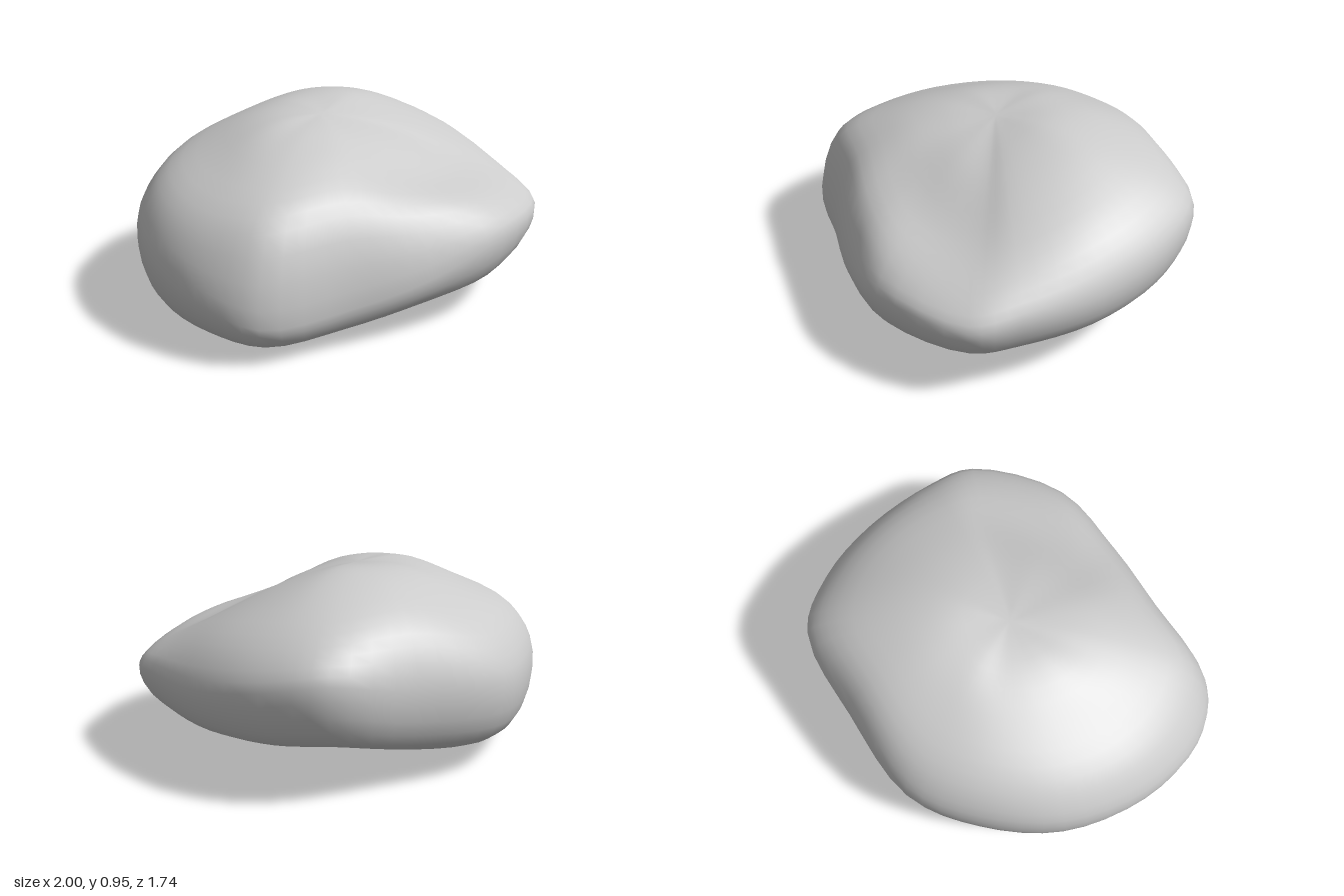
import * as THREE from 'three';

// Spokes around the boulder, running +x, +z, -x, -z:
// rim x, rim z, then heights: three on the upper surface going outwards,
// the rim itself, and three on the underside going inwards
const SPOKES = [
  [1.00, 0.00, 0.915, 0.835, 0.69, 0.50, 0.28, 0.21, 0.15],
  [0.96, 0.40, 0.87, 0.76, 0.61, 0.47, 0.27, 0.21, 0.14],
  [0.88, 0.63, 0.835, 0.69, 0.56, 0.44, 0.26, 0.20, 0.12],
  [0.43, 0.86, 0.835, 0.675, 0.575, 0.44, 0.22, 0.13, 0.07],
  [0.00, 0.83, 0.855, 0.73, 0.59, 0.31, 0.17, 0.07, 0.03],
  [-0.40, 0.725, 0.88, 0.80, 0.64, 0.23, 0.11, 0.05, 0.015],
  [-0.82, 0.615, 0.885, 0.785, 0.61, 0.21, 0.09, 0.04, 0.01],
  [-0.98, 0.35, 0.89, 0.78, 0.59, 0.30, 0.12, 0.03, 0.01],
  [-0.98, -0.05, 0.905, 0.78, 0.62, 0.39, 0.13, 0.03, 0.01],
  [-0.80, -0.45, 0.91, 0.80, 0.65, 0.44, 0.14, 0.055, 0.02],
  [-0.48, -0.725, 0.92, 0.83, 0.68, 0.46, 0.165, 0.07, 0.03],
  [-0.13, -0.865, 0.94, 0.85, 0.69, 0.48, 0.20, 0.08, 0.035],
  [0.35, -0.78, 0.955, 0.91, 0.78, 0.54, 0.26, 0.14, 0.065],
  [0.76, -0.65, 0.96, 0.90, 0.77, 0.63, 0.34, 0.22, 0.11],
  [0.93, -0.38, 0.95, 0.885, 0.74, 0.57, 0.31, 0.22, 0.13],
];
const REACH = [0.3, 0.6, 0.88, 1, 0.92, 0.6, 0.3];
const TOP = new THREE.Vector3(0, 0.92, 0);
const BOTTOM = new THREE.Vector3(0, 0.035, 0);
const AROUND = 60;
const DOWN = 32;

function boulderGeometry() {
  // Closed smooth ring through all spokes at each reach
  const rings = REACH.map((reach, k) => new THREE.CatmullRomCurve3(
    SPOKES.map((s) => new THREE.Vector3(s[0] * reach, s[k + 2], s[1] * reach)), true));

  // Smooth meridians from the crown, over the rim, to the base; each one is
  // carried on to the opposite side so that it crosses crown and base smoothly
  const positions = [TOP.x, TOP.y, TOP.z];
  for (let i = 0; i < AROUND; i++) {
    const points = rings.map((ring) => ring.getPoint(i / AROUND));
    const opposite = ((i + AROUND / 2) % AROUND) / AROUND;
    const meridian = new THREE.CatmullRomCurve3([
      rings[0].getPoint(opposite), TOP, ...points, BOTTOM, rings[6].getPoint(opposite)]);
    for (let j = 1; j < DOWN; j++) {
      positions.push(...meridian.getPoint(0.1 + 0.8 * j / DOWN).toArray());
    }
  }
  positions.push(BOTTOM.x, BOTTOM.y, BOTTOM.z);

  const last = positions.length / 3 - 1;
  const at = (i, j) => (j === 0 ? 0 : j === DOWN ? last : 1 + (i % AROUND) * (DOWN - 1) + j - 1);
  const index = [];
  for (let i = 0; i < AROUND; i++) {
    for (let j = 0; j < DOWN; j++) {
      const a = at(i, j), b = at(i + 1, j), c = at(i + 1, j + 1), d = at(i, j + 1);
      if (j < DOWN - 1) index.push(b, c, d);
      if (j > 0) index.push(a, b, d);
    }
  }

  const geometry = new THREE.BufferGeometry();
  geometry.setAttribute('position', new THREE.Float32BufferAttribute(positions, 3));
  geometry.setIndex(index);

  // Centre it and stand it on the ground
  geometry.computeBoundingBox();
  const { min, max } = geometry.boundingBox;
  geometry.translate(-(min.x + max.x) / 2, -min.y, -(min.z + max.z) / 2);
  geometry.computeVertexNormals();
  return geometry;
}

export function createModel() {
  const group = new THREE.Group();
  group.name = 'rock';
  const boulder = new THREE.Mesh(boulderGeometry(), new THREE.MeshStandardMaterial({ color: 0xcccccc }));
  boulder.name = 'boulder';
  group.add(boulder);
  return group;
}
